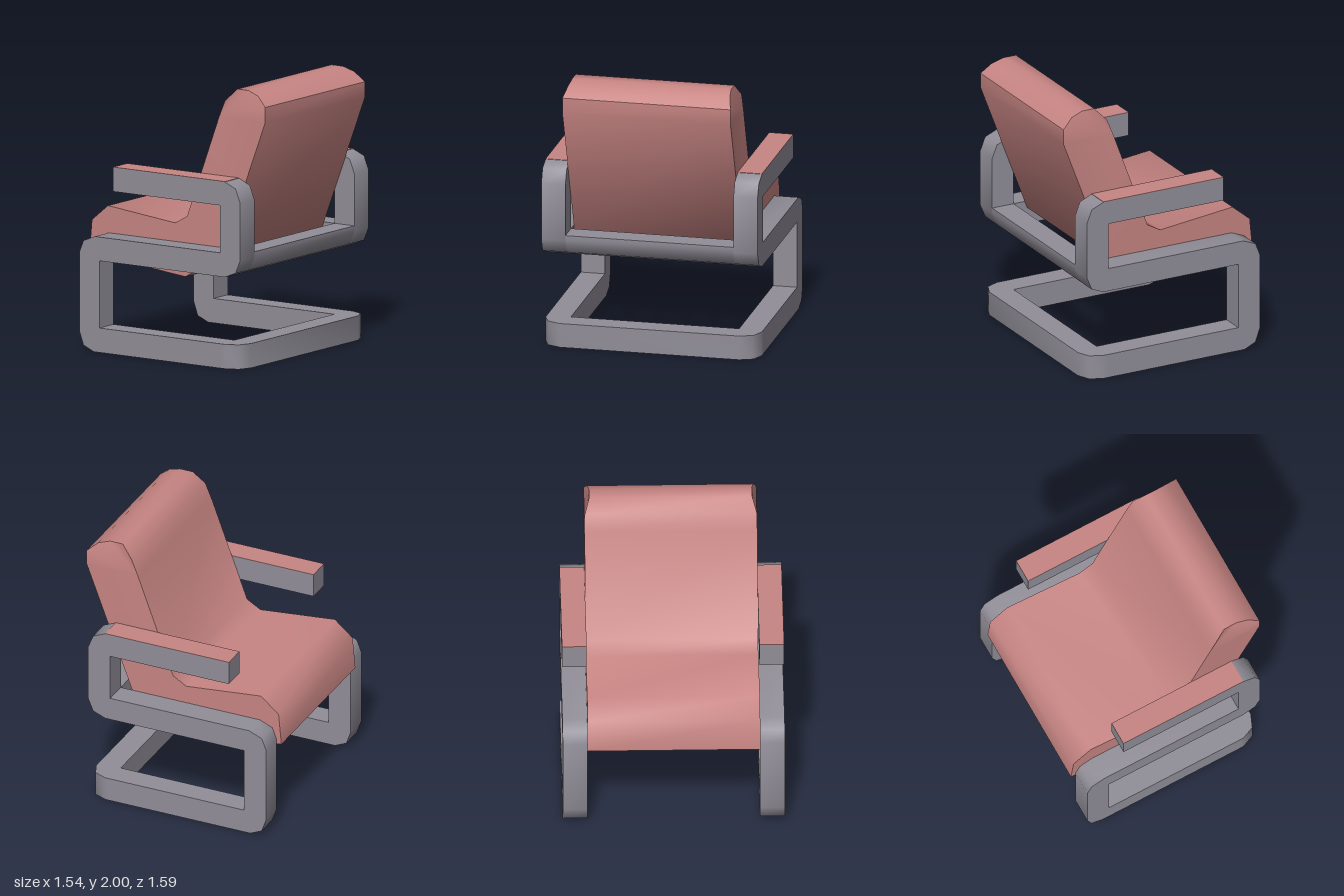
import * as THREE from 'three';
import { mergeGeometries, toCreasedNormals } from 'three/addons/utils/BufferGeometryUtils.js';

const CREASE = 0.85;
const HALF = 0.795; // half width of the frame
const INNER = 0.618; // half width between the side rails

// Prism with a flat outline, centred on z = 0
function prism(points, depth) {
  const shape = new THREE.Shape(points.map(([x, y]) => new THREE.Vector2(x, y)));
  const geo = new THREE.ExtrudeGeometry(shape, { depth, bevelEnabled: false });
  return geo.translate(0, 0, -depth / 2);
}

export function createModel() {
  const chair = new THREE.Group();
  chair.name = 'armchair';
  const frameGrey = new THREE.MeshStandardMaterial({ color: 0x918e98 });
  frameGrey.name = 'frameGrey';
  const cushionRed = new THREE.MeshStandardMaterial({ color: 0xc78583 });
  cushionRed.name = 'cushionRed';

  function add(name, geo, material) {
    const mesh = new THREE.Mesh(toCreasedNormals(geo, CREASE), material);
    mesh.name = name;
    chair.add(mesh);
    return mesh;
  }

  // S-shaped side rails with armrest, and the red pad on each arm
  const railOutline = [
    [0.5, 0], [-0.61, 0], [-0.7, 0.04], [-0.735, 0.14], [-0.735, 0.71], [-0.7, 0.8], [-0.6, 0.84],
    [0.5, 0.84], [0.5, 1.185], [-0.44, 1.185], [-0.44, 1.36], [0.54, 1.36], [0.635, 1.32],
    [0.675, 1.22], [0.675, 0.8], [0.635, 0.705], [0.54, 0.667], [-0.56, 0.667], [-0.56, 0.178], [0.5, 0.178],
  ];
  const railWidth = HALF - INNER;
  for (const [side, s] of [['left', 1], ['right', -1]]) {
    const z = s * (HALF + INNER) / 2;
    add(side + 'Rail', prism(railOutline, railWidth), frameGrey).position.z = z;
    const pad = add(side + 'ArmPad', new THREE.BoxGeometry(0.98, 0.004, railWidth), cushionRed);
    pad.position.set(0.05, 1.361, z);
  }

  // Bar across the back under the cushion
  add('crossBar', prism([
    [0.5, 0.667], [0.54, 0.667], [0.635, 0.705], [0.675, 0.8], [0.675, 0.84], [0.5, 0.84],
  ], 2 * INNER), frameGrey);

  // Floor bar with clipped corners, joining both rails
  const floorOutline = [
    [0.5, -HALF], [0.54, -HALF], [0.635, -0.755], [0.675, -0.66],
    [0.675, 0.66], [0.635, 0.755], [0.54, HALF], [0.5, HALF],
  ];
  const floorBar = prism(floorOutline, 0.178).rotateX(Math.PI / 2);
  add('floorBar', floorBar, frameGrey).position.y = 0.089;

  // Cushion: seat and backrest in one, with a top that narrows at the corners
  const body = prism([
    [-0.772, 0.68], [0.07, 0.592], [0.39, 0.79], [0.77, 1.79], [0.365, 1.79],
    [0.085, 1.035], [-0.02, 0.975], [-0.61, 1.037], [-0.75, 0.92],
  ], 2 * INNER);
  const head = prism([
    [0.365, 1.79], [0.77, 1.79], [0.77, 1.9], [0.69, 1.97],
    [0.6, 2], [0.5, 2], [0.415, 1.91],
  ], 2 * INNER);
  const pos = head.attributes.position;
  for (let i = 0; i < pos.count; i++) {
    const rise = Math.max(0, pos.getY(i) - 1.905);
    pos.setZ(i, pos.getZ(i) * (1 - 0.6 * rise));
  }
  add('cushion', mergeGeometries([body, head]), cushionRed);

  return chair;
}
